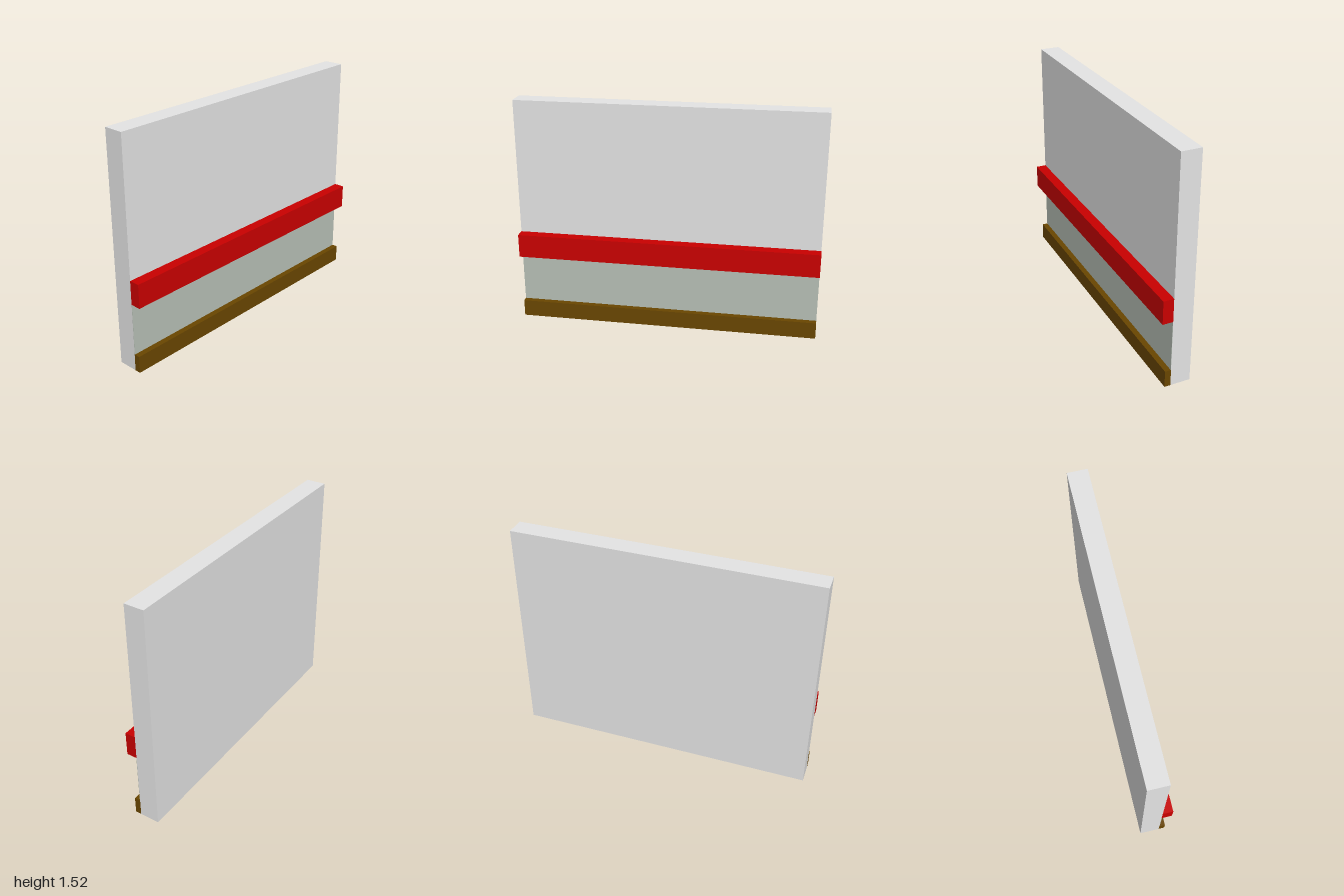
import * as THREE from 'three';

const material = (name, color) => {
  const m = new THREE.MeshStandardMaterial({ color });
  m.name = name;
  return m;
};

export function createModel() {
  const group = new THREE.Group();
  group.name = 'wallSection';

  const plaster = material('light grey plaster', 0xe4e4e4);
  const wainscotPaint = material('grey green paint', 0xb7c0b6);
  const redPaint = material('red paint', 0xca0000);
  const brownWood = material('brown wood', 0x6a4600);

  // Full-width slab between two heights and two depths
  const slab = (name, mat, y0, y1, z0, z1) => {
    const mesh = new THREE.Mesh(new THREE.BoxGeometry(2, y1 - y0, z1 - z0), mat);
    mesh.name = name;
    mesh.position.set(0, (y0 + y1) / 2, (z0 + z1) / 2);
    group.add(mesh);
  };

  const face = 0.031; // front face of the wall

  slab('wall', plaster, 0, 1.518, -0.1, face);
  // Painted lower band between the two trims
  slab('wainscot', wainscotPaint, 0.112, 0.46, face, face + 0.002);
  slab('chairRail', redPaint, 0.457, 0.615, face, 0.1);
  slab('baseboard', brownWood, 0, 0.113, face, 0.071);

  return group;
}
